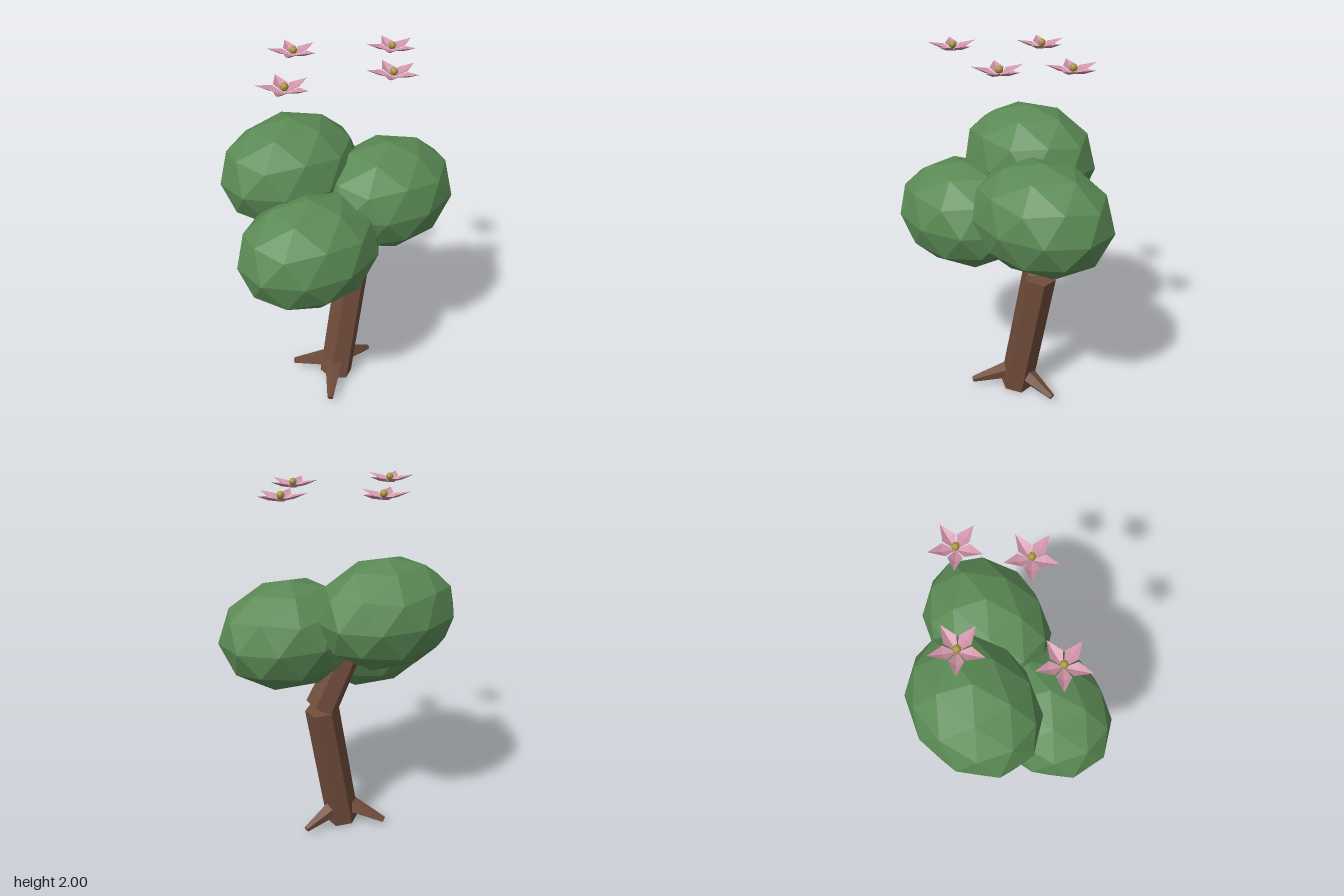
import * as THREE from 'three';

const flat = (name, color, side = THREE.FrontSide) => {
  const m = new THREE.MeshStandardMaterial({ color, flatShading: true, side });
  m.name = name;
  return m;
};

export function createModel() {
  const bark = flat('bark brown', 0x6f4c3b);
  const leaf = flat('leaf green', 0x5b8a55);
  const petalPink = flat('petal pink', 0xcf92a6, THREE.DoubleSide);
  const pollen = flat('pollen gold', 0xa8943e);

  const tree = new THREE.Group();
  tree.name = 'floweringTree';

  const add = (name, geometry, material, parent = tree) => {
    const mesh = new THREE.Mesh(geometry, material);
    mesh.name = name;
    parent.add(mesh);
    return mesh;
  };

  // Tapered prism running from point a to point b
  const limb = (name, a, b, r0, r1, sides) => {
    const start = new THREE.Vector3(...a);
    const dir = new THREE.Vector3(...b).sub(start);
    const length = dir.length();
    const geometry = new THREE.CylinderGeometry(r1, r0, length, sides);
    geometry.translate(0, length / 2, 0);
    const mesh = add(name, geometry, bark);
    mesh.position.copy(start);
    mesh.quaternion.setFromUnitVectors(new THREE.Vector3(0, 1, 0), dir.normalize());
  };

  // Leaning trunk and its two branches
  limb('trunk', [0.004, 0.02, 0.06], [0.154, 0.8, 0.04], 0.095, 0.093, 6);
  limb('backBranch', [0.155, 0.815, 0.038], [0, 1.2, -0.04], 0.092, 0.075, 6);
  limb('rightBranch', [0.14, 0.83, 0.05], [-0.17, 1.06, 0.15], 0.06, 0.045, 6);

  // Roots spreading from the foot of the trunk
  [[0.27, 0.04, 0.05], [-0.185, 0.04, 0.235], [-0.15, 0.04, -0.145]].forEach((tip, i) => {
    const start = [tip[0] > 0 ? 0.03 : 0, 0.125, 0.055];
    limb(`root${i + 1}`, start, tip, 0.06, 0.018, 5);
  });

  // Faceted leaf clumps, each with a corner pointing straight up
  const clump = new THREE.IcosahedronGeometry(1, 1);
  clump.rotateZ(-Math.atan(2 / (1 + Math.sqrt(5))));
  clump.scale(0.395, 0.29, 0.315);
  [
    ['rightFoliage', -0.269, 1.1, 0.173],
    ['leftFoliage', 0.266, 1.23, 0.155],
    ['backFoliage', -0.112, 1.36, -0.175],
  ].forEach(([name, x, y, z]) => add(name, clump, leaf).position.set(x, y, z));

  // Five creased petals in a shallow cup
  const points = [];
  for (let i = 0; i < 5; i++) {
    const a = (i * Math.PI * 2) / 5;
    const at = (r, da, y) => [r * Math.cos(a + da), y, r * Math.sin(a + da)];
    const base = at(0, 0, 0);
    const tip = at(0.128, 0, 0.04);
    const sideA = at(0.064, 0.56, 0.027);
    const sideB = at(0.064, -0.56, 0.027);
    const crease = at(0.066, 0, 0.014);
    points.push(
      ...base, ...sideA, ...crease, ...sideA, ...tip, ...crease,
      ...base, ...crease, ...sideB, ...sideB, ...crease, ...tip,
    );
  }
  const petals = new THREE.BufferGeometry();
  petals.setAttribute('position', new THREE.Float32BufferAttribute(points, 3));
  petals.computeVertexNormals();
  const heart = new THREE.IcosahedronGeometry(0.019, 1);

  // Blossoms floating above the crown
  [[-0.055, -0.205], [0.358, 0.057], [0.13, 0.305], [-0.36, 0.125]].forEach(([x, z], i) => {
    const flower = new THREE.Group();
    flower.name = `flower${i + 1}`;
    add('petals', petals, petalPink, flower);
    add('flowerCentre', heart, pollen, flower).position.y = 0.031;
    flower.position.set(x, 1.95, z);
    tree.add(flower);
  });

  return tree;
}
